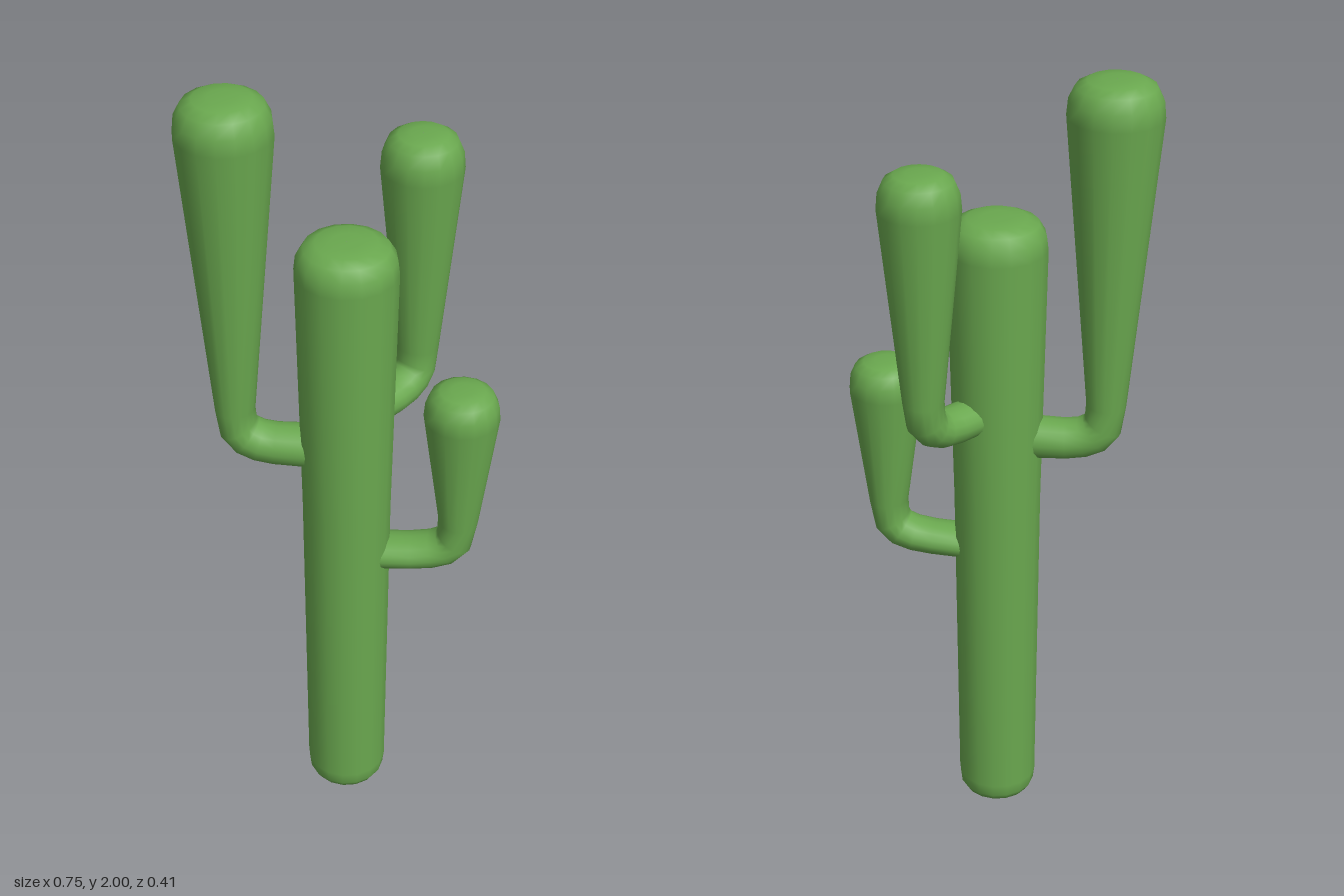
import * as THREE from 'three';

const SIDES = 16;
const TRUNK_X = 0.01, TRUNK_Z = 0.08;

// Skin a row of rings: [outward, y, half thickness, half width, tilt in degrees (0 = outward, 90 = up)]
function skin(rings) {
  const pos = [], index = [];
  for (const [u, y, t, w, deg] of rings) {
    const a = THREE.MathUtils.degToRad(deg);
    for (let j = 0; j < SIDES; j++) {
      const p = (j / SIDES) * Math.PI * 2;
      const n = t * Math.cos(p);
      pos.push(u + n * Math.sin(a), y - n * Math.cos(a), w * Math.sin(p));
    }
  }
  for (let i = 0; i < rings.length - 1; i++) {
    for (let j = 0; j < SIDES; j++) {
      const k = (j + 1) % SIDES;
      const a = i * SIDES + j, b = i * SIDES + k;
      const c = a + SIDES, d = b + SIDES;
      index.push(a, c, b, b, c, d);
    }
  }
  const g = new THREE.BufferGeometry();
  g.setAttribute('position', new THREE.Float32BufferAttribute(pos, 3));
  g.setIndex(index);
  g.computeVertexNormals();
  return g;
}

// Rounded tip as [radius, y] pairs, ending in the middle
function tip(top, r, h) {
  return [[r, top - h], [r * 0.965, top - h * 0.55], [r * 0.83, top - h * 0.2],
    [r * 0.6, top - h * 0.04], [r * 0.3, top], [0.0005, top]];
}

export function createModel() {
  const group = new THREE.Group();
  const green = new THREE.MeshStandardMaterial({ color: 0x6aa84f });

  // Trunk, widening slightly towards its rounded top
  const profile = [[0, 0.004], [0.06, 0.003], [0.085, 0.01], [0.096, 0.028], [0.1, 0.06],
    [0.108, 0.9], ...tip(1.65, 0.122, 0.08)].map(([r, y]) => new THREE.Vector2(r, y));
  const trunk = new THREE.Mesh(new THREE.LatheGeometry(profile, SIDES), green);
  trunk.name = 'trunk';
  trunk.position.set(TRUNK_X, 0, TRUNK_Z);
  group.add(trunk);

  // Arm: a bent elbow, then a club that swells up to a rounded tip
  function addArm(name, angle, elbow, reach, top, r, h) {
    const rings = [...elbow, ...tip(top, r, h).map(([rr, y]) => [reach, y, rr, rr, 90])];
    const arm = new THREE.Mesh(skin(rings), green);
    arm.name = name;
    arm.position.set(TRUNK_X, 0, TRUNK_Z);
    arm.rotation.y = angle;
    group.add(arm);
  }

  addArm('rightArm', Math.PI, [
    [0.04, 1.07, 0.055, 0.057, 0], [0.17, 1.07, 0.05, 0.056, 4], [0.21, 1.076, 0.05, 0.055, 16],
    [0.24, 1.09, 0.051, 0.054, 36], [0.26, 1.115, 0.05, 0.053, 62], [0.267, 1.17, 0.049, 0.052, 87],
  ], 0.272, 2.0, 0.114, 0.09);

  addArm('leftArm', 0, [
    [0.04, 0.757, 0.041, 0.057, 3], [0.16, 0.765, 0.041, 0.057, 6], [0.21, 0.773, 0.043, 0.056, 14],
    [0.245, 0.787, 0.046, 0.055, 34], [0.266, 0.812, 0.048, 0.054, 62], [0.274, 0.87, 0.049, 0.055, 86],
  ], 0.274, 1.26, 0.091, 0.08);

  addArm('backArm', Math.atan2(0.192, 0.155), [
    [0.04, 1.15, 0.046, 0.054, 0], [0.15, 1.152, 0.046, 0.054, 4], [0.19, 1.158, 0.047, 0.053, 16],
    [0.218, 1.172, 0.048, 0.052, 36], [0.237, 1.197, 0.049, 0.051, 62], [0.244, 1.25, 0.05, 0.051, 87],
  ], 0.247, 1.83, 0.098, 0.09);

  return group;
}
